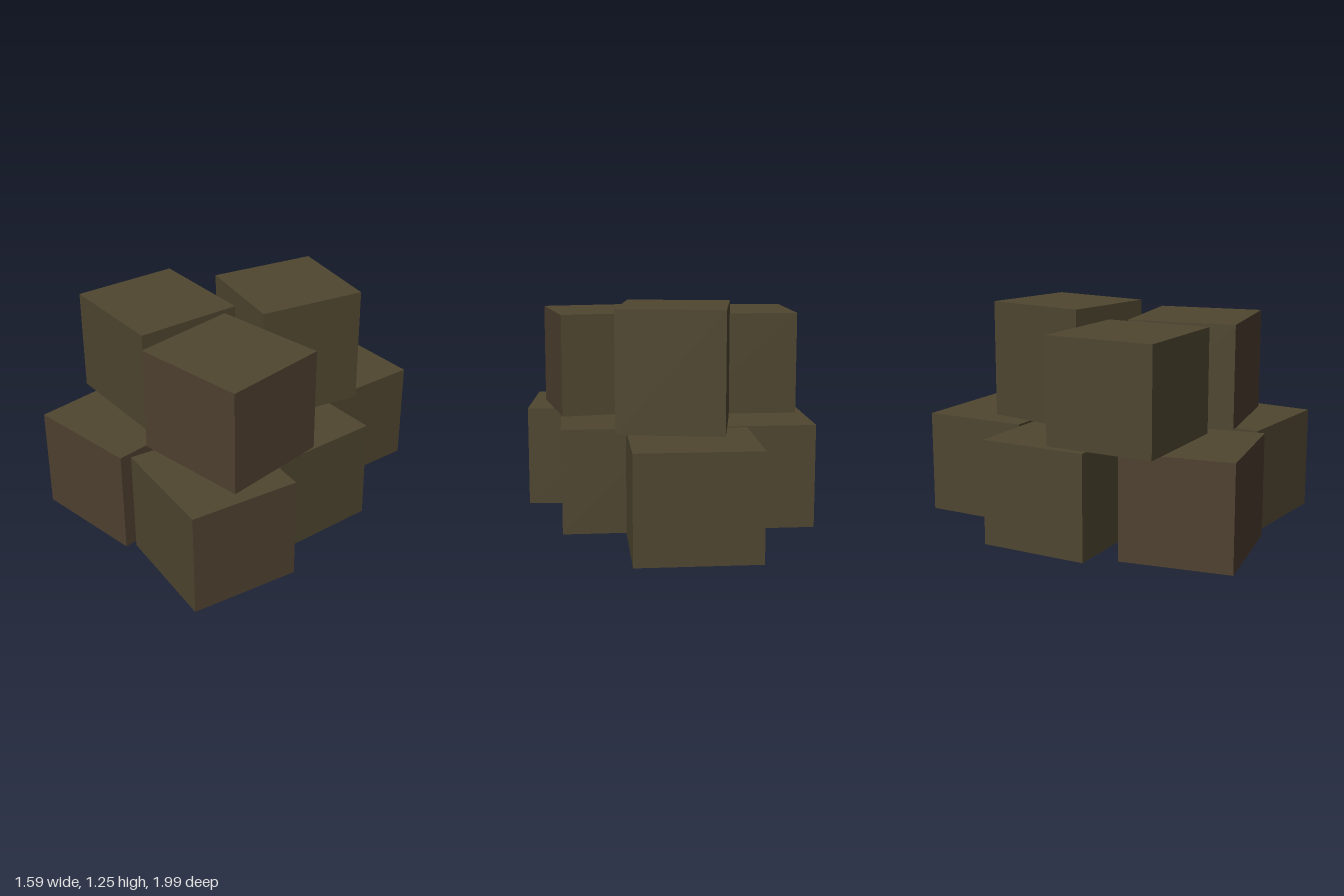
import * as THREE from 'three';

const olive = new THREE.MeshStandardMaterial({ color: 0x4f4630 });
olive.name = 'olive brown';
const umber = new THREE.MeshStandardMaterial({ color: 0x4f4030 });
umber.name = 'reddish brown';

// Crate size: long side, short side and depth
const LONG = 0.66, SHORT = 0.58, DEPTH = 0.61;
const LOWER = 0.007, UPPER = 0.588;

// x, z: centre; y: underside; turn: about y; tilt: about x
// upright crates stand on end; red lists the reddish faces (0 +x, 1 -x, 4 +z, 5 -z)
const crates = [
  { name: 'lowerBackCrate', x: -0.075, z: -0.695, y: LOWER, turn: -0.008 },
  { name: 'lowerMiddleRightCrate', x: -0.467, z: -0.06, y: LOWER, turn: -0.008 },
  { name: 'lowerMiddleLeftCrate', x: 0.31, z: -0.07, y: 0.003, turn: 0, tilt: 0.008, width: SHORT },
  { name: 'lowerFrontRightCrate', x: -0.317, z: 0.64, y: LOWER, turn: 0.155, red: [0, 1, 4] },
  { name: 'lowerFrontLeftCrate', x: 0.437, z: 0.568, y: LOWER, turn: -0.096, red: [0] },
  { name: 'upperFrontRightCrate', x: -0.43, z: 0.315, y: UPPER, turn: -0.01 },
  { name: 'upperFrontLeftCrate', x: 0.315, z: 0.36, y: UPPER, turn: 0.163, red: [0, 4] },
  { name: 'upperBackCrate', x: -0.02, z: -0.295, y: UPPER, turn: -0.175, width: SHORT, height: LONG },
];

export function createModel() {
  const model = new THREE.Group();
  model.name = 'crateStack';
  for (const c of crates) {
    const { width = LONG, height = SHORT, red = [], tilt = 0 } = c;
    const faces = [0, 1, 2, 3, 4, 5].map((i) => (red.includes(i) ? umber : olive));
    const crate = new THREE.Mesh(
      new THREE.BoxGeometry(width, height, DEPTH),
      red.length ? faces : olive,
    );
    crate.name = c.name;
    crate.position.set(c.x, c.y + height / 2, c.z);
    crate.rotation.set(tilt, c.turn, 0, 'YXZ');
    model.add(crate);
  }
  return model;
}
